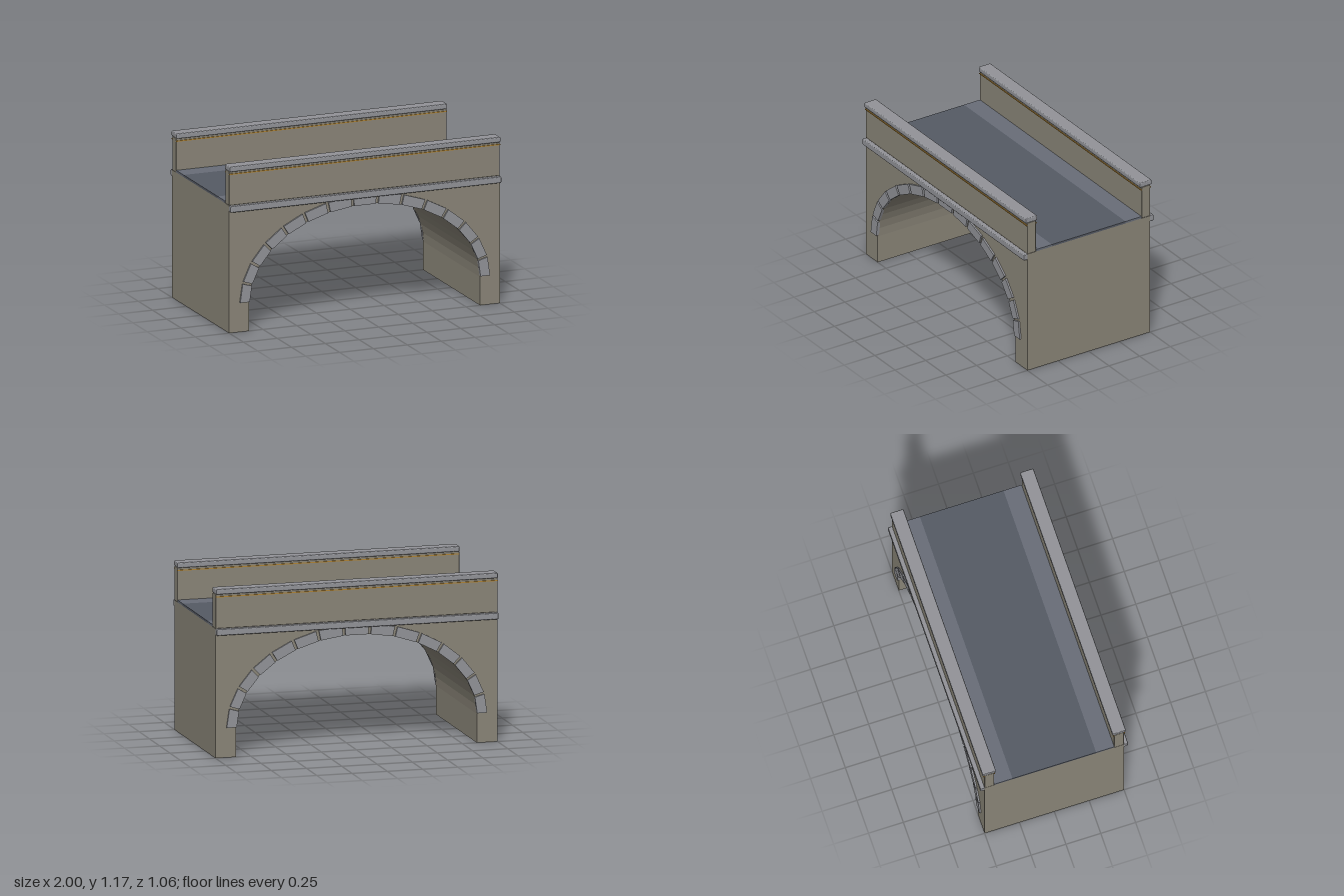
import * as THREE from 'three';
import { RoundedBoxGeometry } from 'three/addons/geometries/RoundedBoxGeometry.js';

const mat = (color) => new THREE.MeshStandardMaterial({ color, flatShading: true });
const masonry = mat(0x8a8578);
const stone = mat(0x929398);
const asphalt = mat(0x555a64);
const pavement = mat(0x686d78);
const gold = mat(0xb08435);

// Arch opening: half an ellipse above straight piers
const A = 0.853, B = 0.605, SPRING = 0.2;

// Point on the arch at an angle, pushed outwards along the normal
function archPoint(angle, offset = 0) {
  const c = Math.cos(angle), s = Math.sin(angle);
  const n = new THREE.Vector2(c / A, s / B).normalize().multiplyScalar(offset);
  return new THREE.Vector2(A * c, SPRING + B * s).add(n);
}

function extrude(points, z0, z1) {
  const geometry = new THREE.ExtrudeGeometry(new THREE.Shape(points), {
    depth: z1 - z0, bevelEnabled: false,
  });
  return geometry.translate(0, 0, z0);
}

// Full-length beam given by its y and z ranges, with optional eased edges
function beam(name, material, y0, y1, z0, z1, radius = 0) {
  const h = y1 - y0, d = z1 - z0;
  const geometry = radius
    ? new RoundedBoxGeometry(2, h, d, 2, radius)
    : new THREE.BoxGeometry(2, h, d);
  const mesh = new THREE.Mesh(geometry, material);
  mesh.name = name;
  mesh.position.set(0, (y0 + y1) / 2, (z0 + z1) / 2);
  return mesh;
}

export function createModel() {
  const bridge = new THREE.Group();
  bridge.name = 'archBridge';

  // Solid body with the arch cut through it
  const outline = [[-A, 0], [-1, 0], [-1, 0.9], [1, 0.9], [1, 0], [A, 0]]
    .map(([x, y]) => new THREE.Vector2(x, y));
  const steps = 30;
  for (let i = 0; i <= steps; i++) outline.push(archPoint((i / steps) * Math.PI));
  const body = new THREE.Mesh(extrude(outline, -0.5, 0.5), masonry);
  body.name = 'body';
  bridge.add(body);

  // Roadway with a pavement along each side
  bridge.add(beam('roadway', asphalt, 0.9, 0.915, -0.3, 0.3));
  bridge.add(beam('leftPavement', pavement, 0.9, 0.915, 0.3, 0.43));
  bridge.add(beam('rightPavement', pavement, 0.9, 0.915, -0.43, -0.3));

  // Front and back faces: arch stones, string course and parapet
  for (const side of [1, -1]) {
    const face = new THREE.Group();
    face.name = side > 0 ? 'frontFace' : 'backFace';

    const ring = new THREE.Group();
    ring.name = 'archRing';
    const count = 15, gap = 0.0115;
    for (let i = 0; i < count; i++) {
      const a0 = (i / count) * Math.PI + gap;
      const a1 = ((i + 1) / count) * Math.PI - gap;
      const corners = [archPoint(a0), archPoint(a0, 0.07), archPoint(a1, 0.07), archPoint(a1)];
      const block = new THREE.Mesh(extrude(corners, 0.49, 0.512), stone);
      block.name = 'archStone';
      ring.add(block);
    }
    face.add(ring);

    face.add(beam('stringCourse', stone, 0.855, 0.9, 0.496, 0.53, 0.007));
    face.add(beam('parapetWall', masonry, 0.9, 1.14, 0.43, 0.5, 0.004));
    face.add(beam('parapetCap', stone, 1.138, 1.175, 0.418, 0.514, 0.008));
    face.add(beam('outerTrim', gold, 1.117, 1.124, 0.498, 0.507));
    face.add(beam('innerTrim', gold, 1.117, 1.124, 0.424, 0.432));

    if (side < 0) face.rotation.y = Math.PI;
    bridge.add(face);
  }
  return bridge;
}
